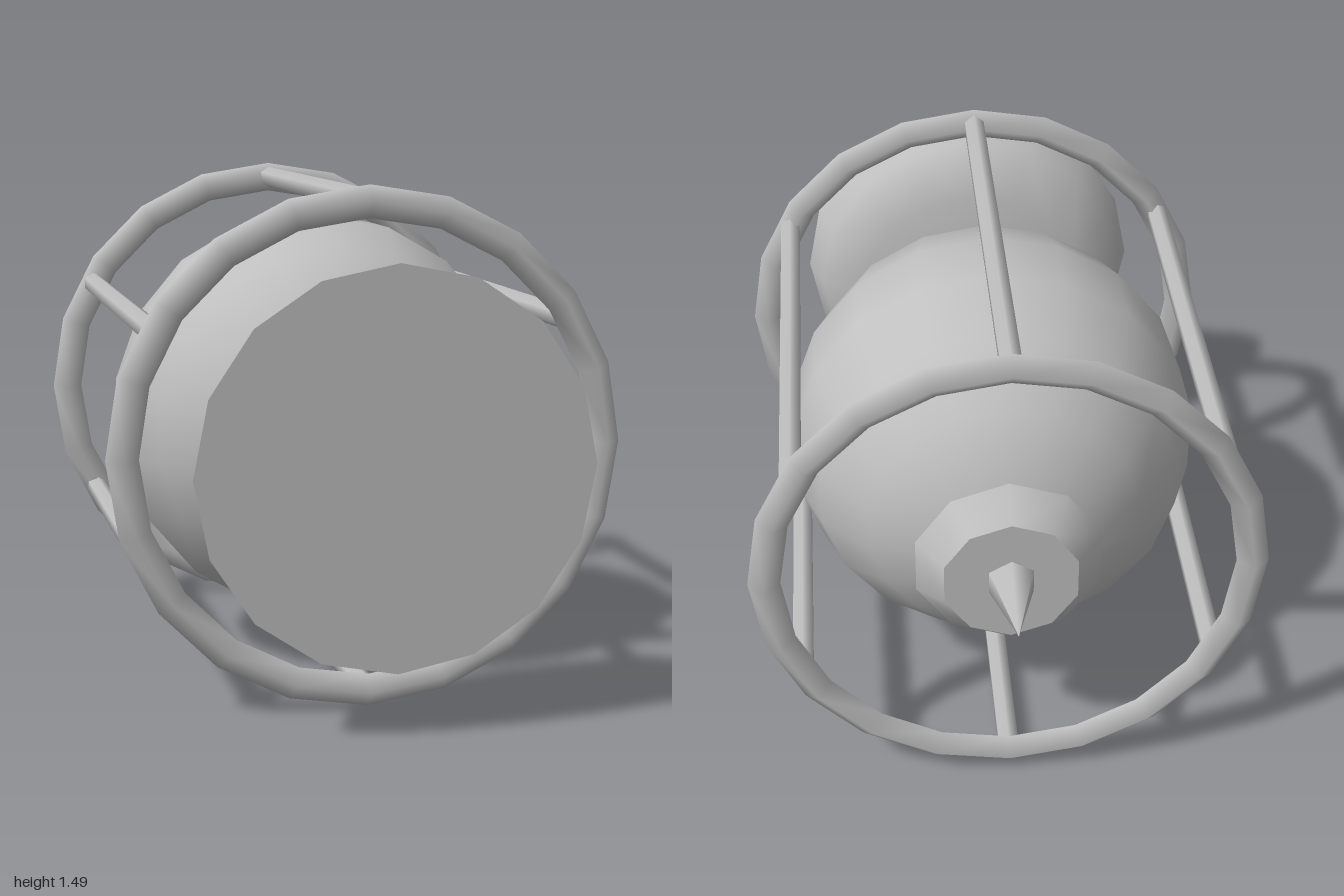
import * as THREE from 'three';

const CENTER_Y = 0.745;
const RING_RADIUS = 0.696;
const FRONT_Z = 0.673;
const BACK_Z = -0.722;

export function createModel() {
  const model = new THREE.Group();
  model.name = 'cagedSphere';
  const grey = new THREE.MeshStandardMaterial({ color: 0xc0c0c0 });
  grey.name = 'plain grey';

  // Everything is arranged around one horizontal axis along z
  const add = (name, geometry, z, x = 0, y = 0) => {
    const mesh = new THREE.Mesh(geometry, grey);
    mesh.name = name;
    mesh.position.set(x, CENTER_Y + y, z);
    model.add(mesh);
    return mesh;
  };

  // Central sphere, poles facing front and back
  add('coreSphere',
    new THREE.SphereGeometry(0.625, 18, 9).rotateY(Math.PI / 2).rotateX(Math.PI / 2), -0.022);

  // Two cage rings with a diamond section
  const ring = new THREE.TorusGeometry(RING_RADIUS, 0.0465, 4, 20);
  add('frontRing', ring, FRONT_Z);
  add('backRing', ring, BACK_Z);

  // Six rods joining the rings
  const rod = new THREE.CylinderGeometry(0.034, 0.034, FRONT_Z - BACK_Z, 6).rotateX(Math.PI / 2);
  for (let i = 0; i < 6; i++) {
    const a = Math.PI / 6 + (i * Math.PI) / 3;
    add('cageRod', rod, (FRONT_Z + BACK_Z) / 2, Math.cos(a) * RING_RADIUS, Math.sin(a) * RING_RADIUS);
  }

  // Rounded front dish with a flat face
  const dishProfile = [[0, 0], [0.372, 0], [0.512, 0.115], [0.555, 0.23]]
    .map(([r, h]) => new THREE.Vector2(r, h));
  add('frontDish', new THREE.LatheGeometry(dishProfile, 16).rotateX(Math.PI / 2), 0.77);
  add('frontDishFace', new THREE.CircleGeometry(0.555, 16), 1);

  // Back hub and its spike
  add('backHub', new THREE.CylinderGeometry(0.28, 0.2, 0.09, 10).rotateX(Math.PI / 2), -0.723);
  add('backSpike', new THREE.ConeGeometry(0.073, 0.232, 6).rotateX(-Math.PI / 2), -0.884);

  return model;
}
